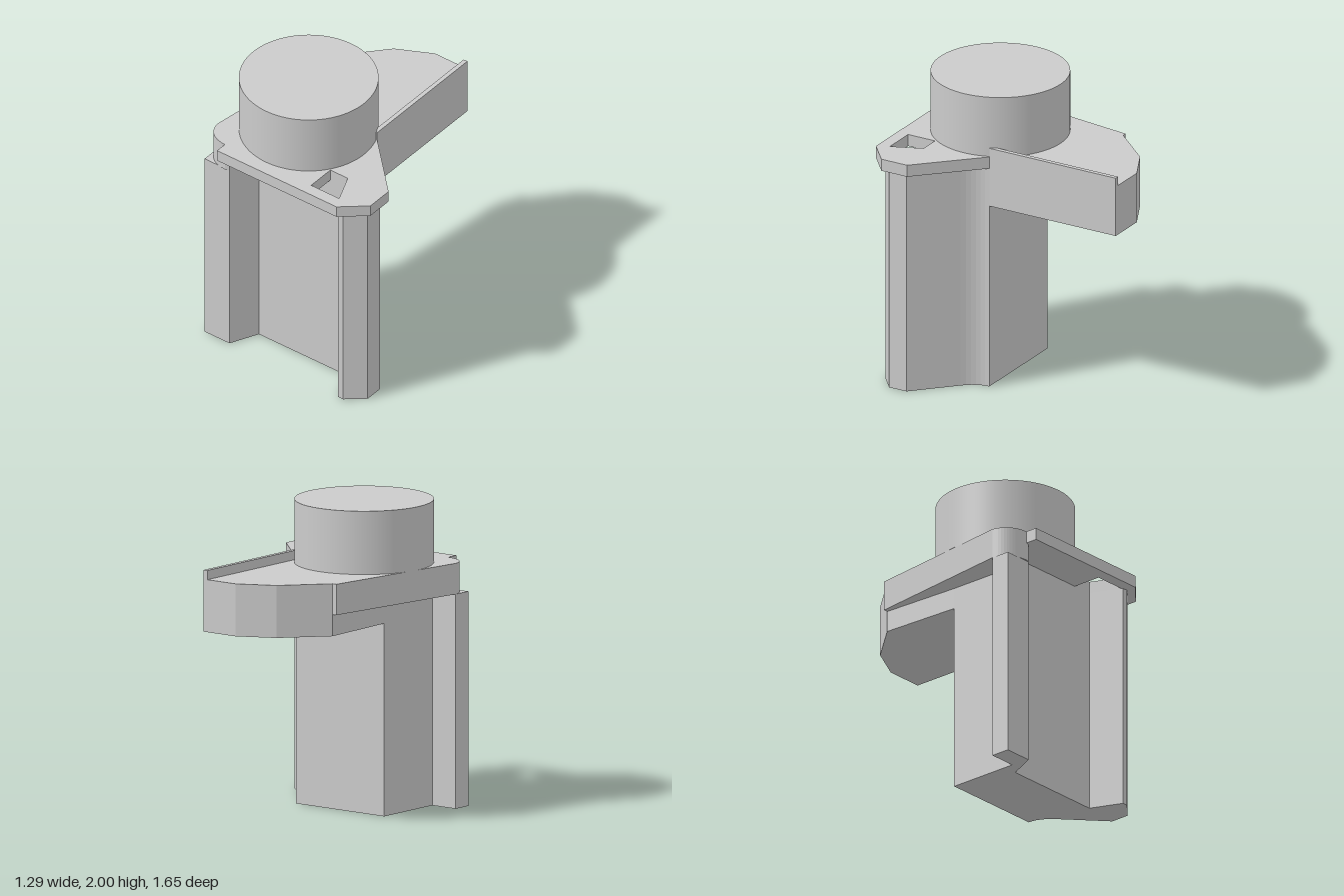
import * as THREE from 'three';

const material = new THREE.MeshStandardMaterial({ color: 0xcccccc });

// Upright prism between heights y0 and y1 from plan points [x, z]
function prism(name, y0, y1, points, hole) {
  const toPlan = ([x, z]) => new THREE.Vector2(x, -z);
  const shape = new THREE.Shape(points.map(toPlan));
  if (hole) shape.holes.push(new THREE.Path(hole.map(toPlan)));
  const geometry = new THREE.ExtrudeGeometry(shape, { depth: y1 - y0, bevelEnabled: false });
  geometry.rotateX(-Math.PI / 2).translate(0, y0, 0);
  const mesh = new THREE.Mesh(geometry, material);
  mesh.name = name;
  return mesh;
}

export function createModel() {
  const model = new THREE.Group();
  model.name = 'columnMount';

  // Main column, recessed at the front between two flanges
  const flank = new THREE.QuadraticBezierCurve(
    new THREE.Vector2(0.26, 0.11), new THREE.Vector2(0.26, 0.2), new THREE.Vector2(0.34, 0.275)
  ).getPoints(6).map((p) => [p.x, p.y]);
  model.add(prism('column', 0, 1.51, [
    [-0.46, 0.11], ...flank, [0.6, 0.52], [0.6, 0.65], [0.48, 0.75], [0.44, 0.75],
    [0.355, 0.54], [-0.36, 0.54], [-0.45, 0.73], [-0.46, 0.73],
  ]));

  // Corner flange beside the column
  model.add(prism('cornerFlange', 0, 1.39, [
    [-0.65, 0.6], [-0.46, 0.6], [-0.46, 0.73], [-0.65, 0.73],
  ]));

  // Top plate with a trapezoid opening
  model.add(prism('topPlate', 1.51, 1.59, [
    [-0.48, 0.82], [0.48, 0.82], [0.645, 0.68], [0.645, 0.49], [0.26, 0.11], [-0.48, 0.11],
  ], [[0.215, 0.54], [0.355, 0.54], [0.44, 0.74], [0.215, 0.74]]));

  // Side deck with a rounded front corner
  const corner = new THREE.QuadraticBezierCurve(
    new THREE.Vector2(-0.65, 0.6), new THREE.Vector2(-0.63, 0.73), new THREE.Vector2(-0.48, 0.74)
  ).getPoints(12).map((p) => [p.x, p.y]);
  model.add(prism('sideDeck', 1.39, 1.59, [
    [-0.46, -0.44], [-0.51, -0.44], ...corner, [-0.45, 0.73], [-0.36, 0.54], [-0.36, 0.11],
  ]));

  // Rear arm with its tapered end
  model.add(prism('rearArm', 1.25, 1.59, [
    [0.26, 0.11], [0.26, -0.83], [0, -0.83], [-0.24, -0.71], [-0.48, -0.44], [-0.46, 0.11],
  ]));

  // Raised lip along the arm
  model.add(prism('armLip', 1.59, 1.65, [
    [0.23, -0.83], [0.26, -0.83], [0.26, 0.11], [0.23, 0.11],
  ]));

  // Round drum on top
  const drum = new THREE.Mesh(new THREE.CylinderGeometry(0.445, 0.445, 0.41, 96), material);
  drum.name = 'drum';
  drum.position.set(-0.16, 1.795, 0.28);
  model.add(drum);

  return model;
}
